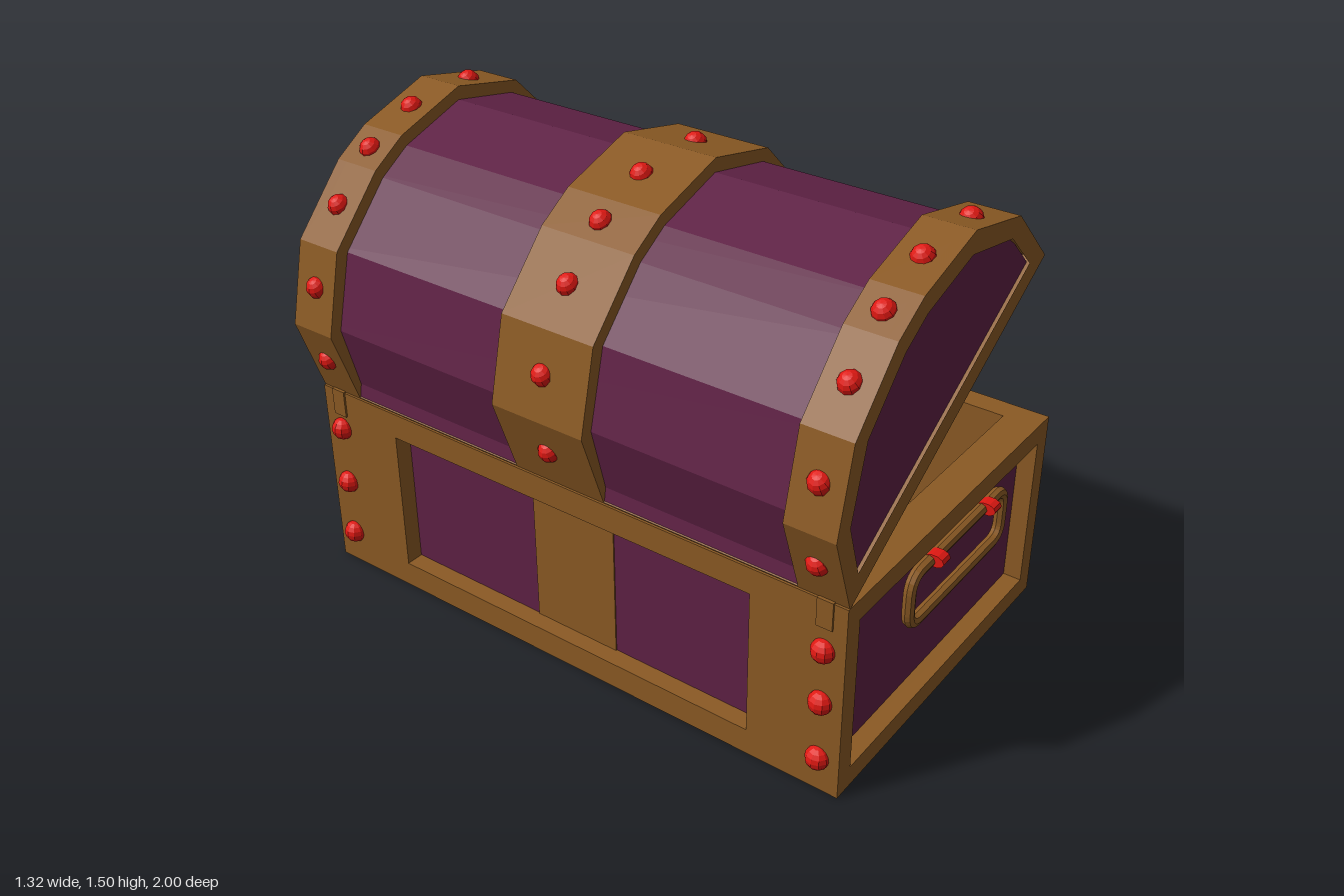
import * as THREE from 'three';

const mat = (color) => new THREE.MeshStandardMaterial({ color, flatShading: true });

export function createModel() {
  const wood = mat(0x8b5a24), purple = mat(0x5f2145), red = mat(0xdf1812);
  const metal = mat(0x6a6a6a), pink = mat(0xa9485c);
  const model = new THREE.Group();
  model.name = 'treasureChest';
  const chest = new THREE.Group();
  chest.name = 'chest';
  chest.position.z = -0.013;
  model.add(chest);

  const add = (parent, name, geo, material, x = 0, y = 0, z = 0) => {
    const m = new THREE.Mesh(geo, material);
    m.name = name;
    m.position.set(x, y, z);
    parent.add(m);
    return m;
  };
  const box = (w, h, d) => new THREE.BoxGeometry(w, h, d);
  const toShape = (pts) => new THREE.Shape(pts.map(([x, y]) => new THREE.Vector2(x, y)));
  const extrude = (shape, depth) => new THREE.ExtrudeGeometry(shape, { depth, bevelEnabled: false });
  const rect = (w, h) => [[-w / 2, -h / 2], [w / 2, -h / 2], [w / 2, h / 2], [-w / 2, h / 2]];

  // Rectangular frame with a window, centred on the origin
  const frame = (w, h, iw, ih, depth) => {
    const s = toShape(rect(w, h));
    s.holes.push(toShape(rect(iw, ih)));
    return extrude(s, depth).translate(0, 0, -depth / 2);
  };

  // Inward-facing tray, open at y = 0 and going down to -depth, narrowed by taper
  const tray = (w, l, depth, taper) => {
    const g = box(w, depth, l).translate(0, -depth / 2, 0);
    const p = g.attributes.position;
    for (let i = 0; i < p.count; i++) {
      if (p.getY(i) < -depth / 2) {
        p.setX(i, p.getX(i) - Math.sign(p.getX(i)) * taper);
        p.setZ(i, p.getZ(i) - Math.sign(p.getZ(i)) * taper);
      }
    }
    const idx = Array.from(g.index.array);
    idx.splice(12, 6); // drop the top face
    g.setIndex(idx.reverse());
    g.clearGroups();
    g.computeVertexNormals();
    return g;
  };
  const rivet = (parent, x, y, z, r) =>
    add(parent, 'rivet', new THREE.SphereGeometry(r, 10, 8), red, x, y, z);

  // ---- Base: framed walls, rim, cavity and floor ----
  const W = 1.166, H = 0.645, L = 1.914, T = 0.058;
  const base = new THREE.Group();
  base.name = 'base';
  base.position.x = 0.007;
  chest.add(base);
  for (const s of [-1, 1]) {
    add(base, 'endFrame', frame(W, H, 1.04, 0.51, T), wood, 0, H / 2, s * (L / 2 - T / 2));
    add(base, 'endPanel', box(1.05, 0.6, 0.014), purple, 0, H / 2, s * (L / 2 - T - 0.007));
    add(base, 'sideFrame', frame(L, H, 1.31, 0.475, T).rotateY(Math.PI / 2), wood, s * (W / 2 - T / 2), H / 2, 0);
    add(base, 'sidePanel', box(0.014, 0.6, 1.78), purple, s * (W / 2 - T - 0.007), H / 2, 0);
    add(base, 'sideStrip', box(0.014, 0.5, 0.3), wood, s * (W / 2 - T - 0.003), H / 2, 0);
    // corner rivets and hinge straps
    for (const z of [-0.89, 0.89]) {
      const heights = s > 0 ? [0.115, 0.36, 0.58] : [0.115, 0.31, z > 0 ? 0.485 : 0.51];
      for (const y of heights) rivet(base, s * W / 2, y, z, s > 0 ? 0.033 : 0.037);
      if (s < 0) add(base, 'hingeStrap', box(0.012, 0.09, 0.05), wood, -W / 2, 0.605, z);
    }
  }
  add(base, 'rim', frame(W, L, 1.01, 1.686, 0.02).rotateX(Math.PI / 2), wood, 0, H - 0.01, 0);
  add(base, 'cavity', tray(1.01, 1.686, 0.43, 0), wood, 0, H, 0);
  add(base, 'bottom', box(W, 0.04, L), wood, 0, 0.02, 0);

  // ---- Lid: faceted arch, built flat and swung open about the hinge ----
  const lid = new THREE.Group();
  lid.name = 'lid';
  lid.position.set(-0.571, 0.647, 0);
  lid.rotation.z = 0.5637;
  chest.add(lid);
  const C = 1.152;
  const mirrored = (half) => [...half, ...half.map(([u, v]) => [C - u, v]).reverse()];
  const archHalf = (d, v0 = 0) => [[d + v0 * 0.233, v0], [0.06 + 0.97 * d, 0.257 - 0.4 * d],
    [0.25 + 0.65 * d, 0.443 - 0.85 * d], [0.507 + 0.15 * d, 0.511 - d]];
  const arch = (d, v0) => mirrored(archHalf(d, v0));
  // arch inset by d whose feet flare out to the lip, clear of the cavity
  const flared = (d, foot) => mirrored([[foot, 0], [0.034, 0.035], ...archHalf(d).slice(1)]);
  const outer = arch(0);

  // Barrel with a trough for the cavity
  const trough = [[C - 0.027, 0], [C - 0.098, 0.16], [0.098, 0.16], [0.027, 0]];
  add(lid, 'lidBody', extrude(toShape([...flared(0.04, 0.003), ...trough]), 1.8), purple, 0, 0, -0.9);
  add(lid, 'lidCavity', tray(C - 0.06, 1.756, 0.142, 0.07).rotateX(Math.PI), wood, C / 2, 0, 0);
  add(lid, 'lidRim', frame(C - 0.002, L, C - 0.06, 1.756, 0.006).rotateX(Math.PI / 2), wood, C / 2, 0, 0);

  const ring = toShape(outer);
  ring.holes.push(toShape(arch(0.062, 0.061)));
  for (const s of [-1, 1]) {
    add(lid, 'lidEndPanel', extrude(toShape(arch(0.04)), 0.035), purple, 0, 0, s * 0.9045 - 0.0175);
    add(lid, 'lidEndFrame', extrude(ring, 0.035), wood, 0, 0, s * 0.9395 - 0.0175);
  }

  // Three bands over the arch, one half-sunk rivet per facet
  const bandShape = toShape([...outer, ...flared(0.055, 0.02).reverse()]);
  const sink = 0.98;
  for (const [z, w] of [[-0.879, 0.156], [0, 0.32], [0.879, 0.156]]) {
    add(lid, 'band', extrude(bandShape, w), wood, 0, 0, z - w / 2);
    for (let i = 0; i < outer.length - 1; i++) {
      const u = (outer[i][0] + outer[i + 1][0]) / 2, v = (outer[i][1] + outer[i + 1][1]) / 2;
      rivet(lid, C / 2 + (u - C / 2) * sink, 0.16 + (v - 0.16) * sink, z, 0.035);
    }
  }

  // ---- Hasp on the lid ----
  const hasp = add(chest, 'haspPlate', box(0.105, 0.005, 0.19), wood, 0.437, 1.234, 0.01);
  hasp.rotation.z = -0.777;
  add(chest, 'haspRoll', new THREE.CylinderGeometry(0.026, 0.026, 0.19, 10).rotateX(Math.PI / 2), wood, 0.357, 1.31, 0.01);

  // ---- Staple and padlock ----
  const lock = new THREE.Group();
  lock.name = 'padlock';
  lock.position.set(0.605, 0, 0.008);
  chest.add(lock);
  add(lock, 'staple', new THREE.TorusGeometry(0.046, 0.011, 8, 20), metal, 0, 0.54, 0);
  add(lock, 'shackle', new THREE.TorusGeometry(0.046, 0.011, 8, 14, Math.PI).rotateY(Math.PI / 2), metal, 0, 0.472, 0);
  const half = [[0.05, 0.487], [0.1, 0.415], [0.09, 0.382], [0.05, 0.355], [0.018, 0.345]];
  const lockShape = toShape([...half, ...half.map(([a, b]) => [-a, b]).reverse()]);
  add(lock, 'lockBody', extrude(lockShape, 0.024).translate(0, 0, -0.012).rotateY(Math.PI / 2), pink);

  // ---- Rounded handles with red clips on both ends ----
  const path = new THREE.CurvePath();
  const hw = 0.272, hh = 0.084, r = 0.055;
  const v = (x, y) => new THREE.Vector3(x, y, 0);
  const loop = [[1, 1], [-1, 1], [-1, -1], [1, -1]];
  loop.forEach(([a, b], i) => {
    const [c, d] = loop[(i + 1) % 4];
    const corner = v(a * hw, b * hh), next = v(c * hw, d * hh);
    const dir = next.clone().sub(corner).normalize().multiplyScalar(r);
    const turn = b === d ? v(0, -b * r) : v(-a * r, 0);
    path.add(new THREE.LineCurve3(corner.clone().add(dir), next.clone().sub(dir)));
    path.add(new THREE.QuadraticBezierCurve3(next.clone().sub(dir), next, next.clone().add(turn)));
  });
  for (const s of [-1, 1]) {
    const handle = new THREE.Group();
    handle.name = 'handle';
    handle.position.set(0.007, 0.478, s * 0.955);
    model.add(handle);
    add(handle, 'grip', new THREE.TubeGeometry(path, 96, 0.019, 8, true), wood);
    for (const x of [-0.153, 0.153]) {
      const clip = add(handle, 'clip', new THREE.CylinderGeometry(0.03, 0.03, 0.04, 10).rotateZ(Math.PI / 2), red, x, hh + 0.004, s * 0.015);
      clip.scale.y = 0.65;
    }
  }
  return model;
}
